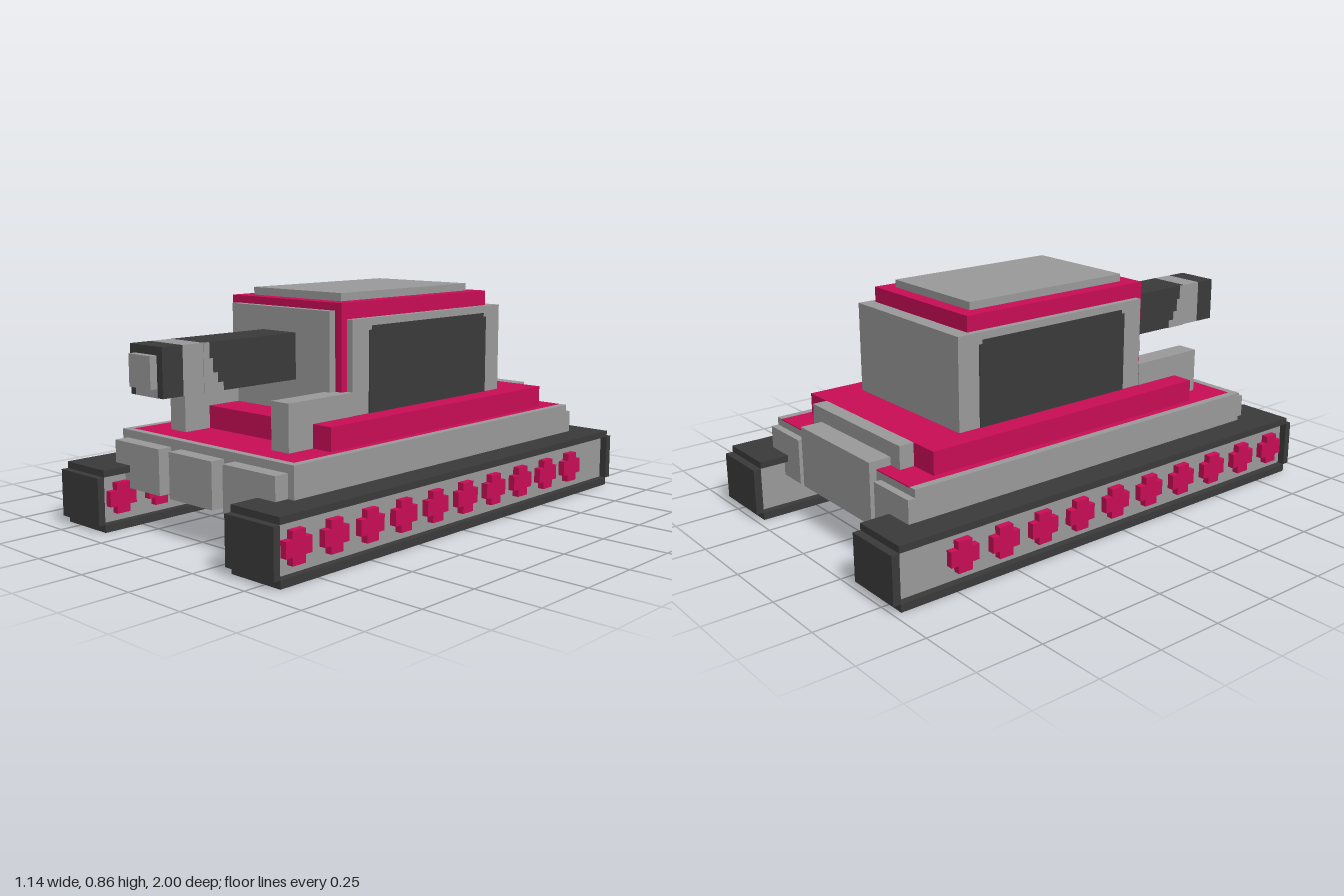
import * as THREE from 'three';

const mat = (name, color) => {
  const m = new THREE.MeshStandardMaterial({ color });
  m.name = name;
  return m;
};

export function createModel() {
  const model = new THREE.Group();
  model.name = 'tank';
  const gray = mat('armour gray', 0x999999);
  const pink = mat('crimson', 0xc80d55);
  const dark = mat('charcoal', 0x3a3a3a);

  // Box given by its limits on each axis
  const box = (name, m, [x0, x1], [y0, y1], [z0, z1], parent = model) => {
    const mesh = new THREE.Mesh(new THREE.BoxGeometry(x1 - x0, y1 - y0, z1 - z0), m);
    mesh.position.set((x0 + x1) / 2, (y0 + y1) / 2, (z0 + z1) / 2);
    mesh.name = name;
    parent.add(mesh);
    return mesh;
  };
  const wide = (name, m, halfX, y, z) => box(name, m, [-halfX, halfX], y, z);
  // The same box on both sides
  const pair = (name, m, [x0, x1], y, z) => {
    box(name + 'Left', m, [x0, x1], y, z);
    box(name + 'Right', m, [-x1, -x0], y, z);
  };

  // Hull
  wide('bellyPlate', pink, 0.345, [0.145, 0.174], [-0.83, 0.744]);
  wide('lowerHull', gray, 0.345, [0.174, 0.23], [-0.83, 0.744]);
  wide('upperHull', gray, 0.458, [0.23, 0.341], [-0.83, 0.744]);
  wide('hullTopPaint', pink, 0.428, [0.341, 0.345], [-0.83, 0.715]);
  pair('hullRim', gray, [0.428, 0.458], [0.341, 0.345], [-0.83, 0.744]);
  wide('hullFrontRim', gray, 0.428, [0.341, 0.345], [0.715, 0.744]);
  wide('deck', pink, 0.4, [0.345, 0.43], [-0.715, 0.515]);

  // Front and rear armour blocks
  wide('frontBlockMiddle', gray, 0.115, [0.145, 0.315], [0.744, 0.8]);
  pair('frontBlock', gray, [0.172, 0.429], [0.145, 0.315], [0.744, 0.8]);
  pair('rearBlock', gray, [0.255, 0.458], [0.145, 0.315], [-0.858, -0.83]);
  wide('rearBlockMiddle', gray, 0.229, [0.145, 0.375], [-0.858, -0.772]);
  wide('rearStep', gray, 0.285, [0.345, 0.43], [-0.772, -0.715]);

  // Turret
  wide('turretBody', gray, 0.312, [0.43, 0.772], [-0.543, 0.315]);
  wide('turretCore', pink, 0.286, [0.43, 0.83], [-0.485, 0.343]);
  wide('turretFrontPlate', gray, 0.255, [0.43, 0.802], [0.343, 0.372]);
  wide('turretRoofPlate', gray, 0.229, [0.83, 0.859], [-0.43, 0.285]);
  pair('turretSidePanel', dark, [0.311, 0.315], [0.43, 0.73], [-0.455, 0.23]);
  pair('turretSidePanelTop', dark, [0.311, 0.315], [0.73, 0.745], [-0.44, 0.215]);
  pair('turretArm', gray, [0.23, 0.315], [0.345, 0.515], [0.315, 0.63]);

  // Gun barrel with a painted band, stepped on the sides
  const by = [0.545, 0.715];
  wide('barrel', dark, 0.085, by, [0.372, 0.8]);
  wide('barrelBand', gray, 0.085, by, [0.8, 0.887]);
  wide('barrelTip', dark, 0.085, by, [0.887, 0.972]);
  wide('muzzle', gray, 0.057, [0.575, 0.686], [0.972, 1]);
  wide('muzzleLowerPaint', gray, 0.057, [0.545, 0.575], [0.97, 0.974]);
  [[0.545, 0.575, 0.715], [0.575, 0.61, 0.74], [0.61, 0.66, 0.76], [0.66, 0.715, 0.775]]
    .forEach(([y0, y1, z]) => pair('bandStep', gray, [0.084, 0.087], [y0, y1], [z, 0.8]));
  wide('bandUnderside', gray, 0.085, [0.543, 0.546], [0.715, 0.8]);

  // Cross-shaped road wheel: 4 x 4 blocks without the corners
  const a = 0.0285, b = 0.057;
  const cross = new THREE.Shape([
    [-a, -b], [a, -b], [a, -a], [b, -a], [b, a], [a, a],
    [a, b], [-a, b], [-a, a], [-b, a], [-b, -a], [-a, -a],
  ].map(([x, y]) => new THREE.Vector2(x, y)));
  const wheelGeo = new THREE.ExtrudeGeometry(cross, { depth: 0.222, bevelEnabled: false });
  wheelGeo.translate(0, 0, -0.111).rotateY(Math.PI / 2);

  // Tracks, with wheels showing on both faces
  for (const side of [1, -1]) {
    const track = new THREE.Group();
    track.name = side > 0 ? 'leftTrack' : 'rightTrack';
    track.position.x = side * 0.4575;
    model.add(track);
    const x = [-0.1135, 0.1135];
    box('trackTop', dark, x, [0.205, 0.23], [-0.971, 0.915], track);
    box('trackBottom', dark, x, [0, 0.029], [-0.971, 0.915], track);
    box('trackFront', dark, x, [0.029, 0.205], [0.915, 0.942], track);
    box('trackBack', dark, x, [0.029, 0.205], [-1, -0.971], track);
    box('trackPanel', gray, [-0.085, 0.085], [0.029, 0.205], [-0.971, 0.915], track);
    for (let i = 0; i < 10; i++) {
      const wheel = new THREE.Mesh(wheelGeo, pink);
      wheel.name = 'wheel' + (i + 1);
      wheel.position.set(0, 0.117, 0.83 - i * 0.1715);
      track.add(wheel);
    }
  }
  return model;
}
